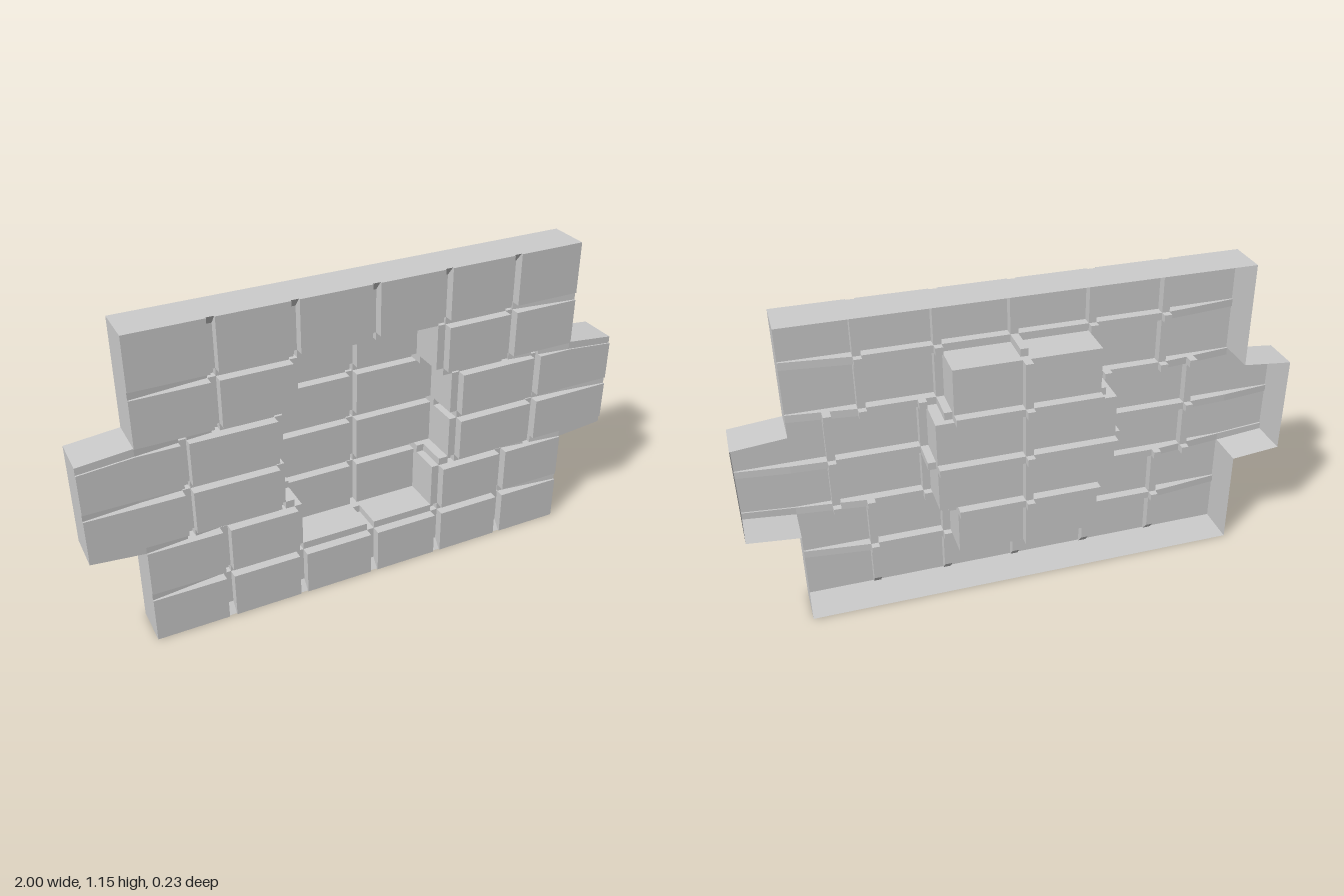
import * as THREE from 'three';

const H = 1.155;            // wall height
const EDGE = 0.815;         // half width of the outer courses
const HALF = 0.014;         // half width of a mortar joint
const BACK = -0.03;         // rear edge of the side walls
const FACE = 0.12, NICHE = -0.055;
const GROOVE = 0.035, CROSSING = 0.06, NICK = 0.006;

const bedJoints = [0.183, 0.38, 0.567, 0.755, 0.952];
const outerJoints = [-0.54, -0.265, 0.018, 0.285, 0.555];
const middleJoints = [-0.655, -0.325, 0.018, 0.35, 0.675];
const jointsOf = row => (row === 2 || row === 3 ? middleJoints : outerJoints);
const near = (list, v) => list.findIndex(j => Math.abs(j - v) < HALF);
const clamp = THREE.MathUtils.clamp;

// Niche: two bricks wide, four courses high
function inNiche(row, x) {
  if (row < 1 || row > 4) return false;
  const j = jointsOf(row);
  return x > j[1] + HALF && x < j[3] - HALF;
}

// Describes one cell of the wall: its part and the depth at each of its corners
function describe(x, y) {
  const wing = Math.abs(x) > EDGE;
  if (wing && (y < bedJoints[1] - HALF || y > bedJoints[3] + HALF)) return null;
  const bed = near(bedJoints, y);
  const row = bedJoints.filter(j => j < y).length;

  if (bed >= 0) {
    // bed joint, running between course "bed" and course "bed + 1"
    const lower = near(jointsOf(bed), x), upper = near(jointsOf(bed + 1), x);
    const crossing = lower >= 0 || upper >= 0;
    const niche = inNiche(bed, x) && inNiche(bed + 1, x);
    if (niche) return { part: 'nicheJoints', z: () => NICHE - (crossing ? CROSSING : GROOVE) };
    // joints that climb the inner walls of the niche
    const narrow = bed === 2 ? middleJoints : outerJoints;
    const k = near(narrow, x);
    const climbs = bed === 0 || bed === 4 ? k === 2 : k === 1 || k === 3;
    if (climbs) return { part: 'nicheJoints', z: () => BACK };
    if (crossing) return { part: 'mortarJoints', z: () => FACE - CROSSING };
    const end = bed === 2 ? 1 : EDGE;
    if (wing && bed !== 2) return { part: 'bricks', z: () => FACE - NICK };
    return {
      part: 'mortarJoints',
      z: cx => FACE - NICK - (GROOVE - NICK) * clamp((end - Math.abs(cx)) / 0.25, 0, 1),
    };
  }

  const head = near(jointsOf(row), x);
  const niche = inNiche(row, x);
  if (head >= 0) {
    if (niche) return { part: 'nicheJoints', z: () => NICHE - GROOVE };
    return {
      part: 'mortarJoints',
      z: (cx, cy) => FACE - NICK - (GROOVE - NICK) * clamp(Math.min(cy, H - cy) / 0.035, 0, 1),
    };
  }
  return niche ? { part: 'nicheBricks', z: () => NICHE } : { part: 'bricks', z: () => FACE };
}

// The long middle courses narrow slightly towards their ends
function place(x, y, z) {
  const t = clamp((Math.abs(x) - EDGE) / (1 - EDGE), 0, 1);
  const mid = bedJoints[2];
  return [x, mid + (y - mid) * (1 - 0.09 * t), z];
}

const sorted = list => [...new Set(list)].sort((a, b) => a - b);

export function createModel() {
  const group = new THREE.Group();
  group.name = 'brickWallWithNiche';
  const parts = { bricks: [], mortarJoints: [], nicheBricks: [], nicheJoints: [], nicheWalls: [], sideWalls: [] };

  const both = j => [j - HALF, j + HALF];
  const xs = sorted([-1, -EDGE, EDGE, 1, ...[...outerJoints, ...middleJoints].flatMap(both)]);
  const ys = sorted([0, 0.035, H - 0.035, H, ...bedJoints.flatMap(both)]);
  const nx = xs.length - 1, ny = ys.length - 1;

  const cells = [];
  for (let i = 0; i < nx; i++) {
    cells.push([]);
    for (let j = 0; j < ny; j++) cells[i].push(describe((xs[i] + xs[i + 1]) / 2, (ys[j] + ys[j + 1]) / 2));
  }
  const cellAt = (i, j) => (cells[i] && cells[i][j]) || null;

  const quad = (part, a, b, c, d) => {
    for (const p of [a, b, c, a, c, d]) parts[part].push(...place(...p));
  };

  // Step between two neighbouring cells; a missing neighbour gives the outer side wall
  function step(a, b, p, q) {
    if (!a && !b) return;
    const z = (cell, [x, y]) => (cell ? cell.z(x, y) : BACK);
    const ap = z(a, p), aq = z(a, q), bp = z(b, p), bq = z(b, q);
    if (Math.abs(ap - bp) + Math.abs(aq - bq) < 1e-5) return;
    const deep = Math.min(ap, bp) < 0;
    const part = !a || !b ? 'sideWalls' : deep ? 'nicheWalls' : 'mortarJoints';
    quad(part, [...p, ap], [...p, bp], [...q, bq], [...q, aq]);
  }

  for (let i = 0; i <= nx; i++) {
    for (let j = 0; j <= ny; j++) {
      const cell = cellAt(i, j);
      const x0 = xs[i], x1 = xs[i + 1], y0 = ys[j], y1 = ys[j + 1];
      if (cell) {
        const c = (x, y) => [x, y, cell.z(x, y)];
        quad(cell.part, c(x0, y0), c(x1, y0), c(x1, y1), c(x0, y1));
      }
      if (j < ny) step(cellAt(i - 1, j), cell, [x0, y0], [x0, y1]);
      if (i < nx) step(cellAt(i, j - 1), cell, [x1, y0], [x0, y0]);
    }
  }

  // Thin shell, open at the back
  const material = new THREE.MeshStandardMaterial({ color: 0xcccccc, flatShading: true, side: THREE.DoubleSide });
  for (const [name, points] of Object.entries(parts)) {
    const geometry = new THREE.BufferGeometry();
    geometry.setAttribute('position', new THREE.Float32BufferAttribute(points, 3));
    geometry.computeVertexNormals();
    const mesh = new THREE.Mesh(geometry, material);
    mesh.name = name;
    group.add(mesh);
  }
  return group;
}
